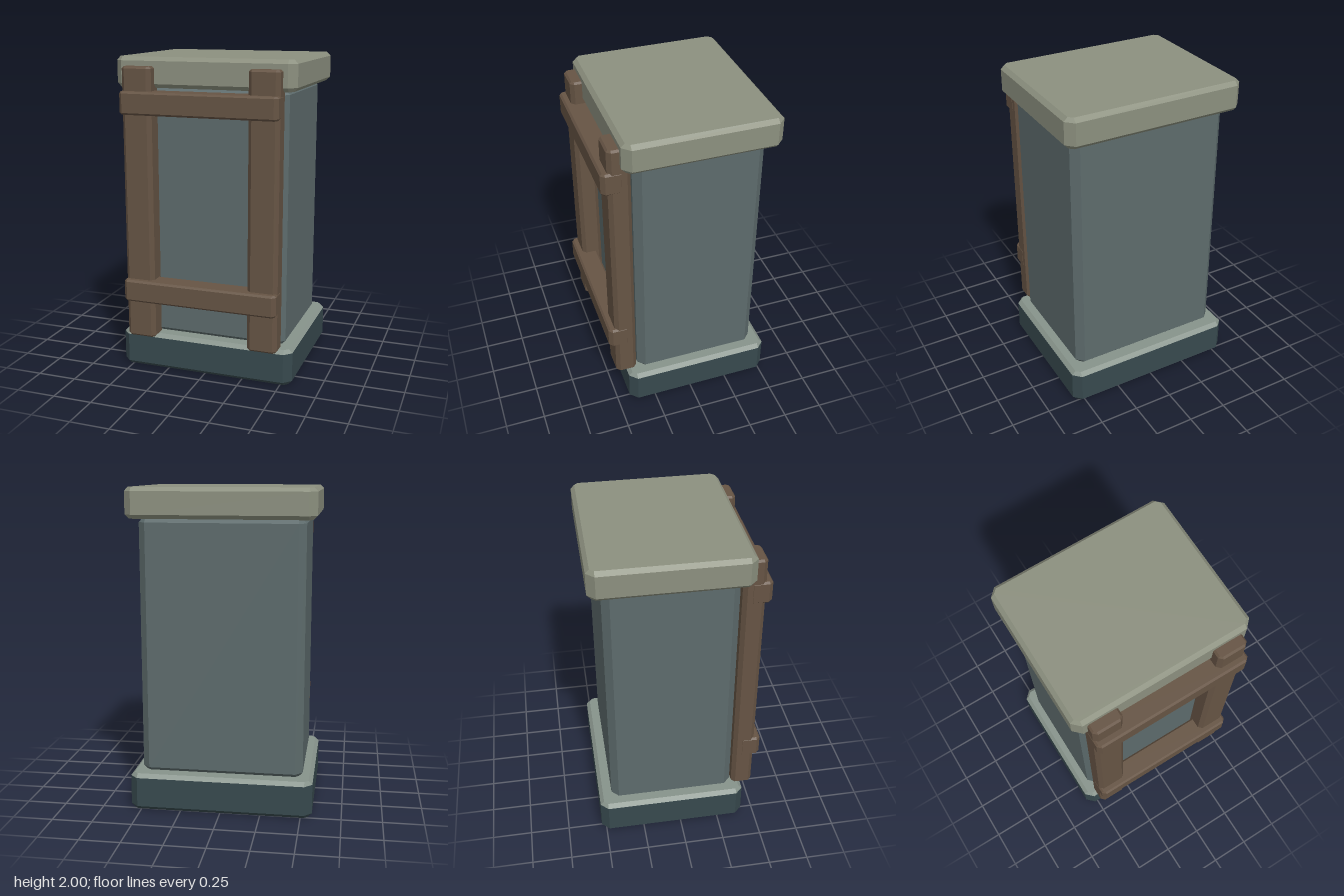
import * as THREE from 'three';

const COLORS = { lid: 0x8c907f, trim: 0x87938b, body: 0x5d6b6c, base: 0x37494e, wood: 0x665444 };

// Eight-sided ring: rectangle with cut corners, its sides drawn in by inset
function ring([x0, x1], [z0, z1], y, cut, inset) {
  const a = x0 + inset, b = x1 - inset, c = z0 + inset, d = z1 - inset;
  return [
    [x1 - cut, y, d], [b, y, z1 - cut], [b, y, z0 + cut], [x1 - cut, y, c],
    [x0 + cut, y, c], [a, y, z0 + cut], [a, y, z1 - cut], [x0 + cut, y, d],
  ];
}

// Flat-shaded solid through levels of [y, inset], listed from the bottom up
function block(name, color, xs, zs, cut, levels) {
  const rings = levels.map(([y, inset]) => ring(xs, zs, y, cut, inset));
  const pos = [];
  const tri = (...points) => points.forEach((p) => pos.push(...p));
  for (let k = 0; k < rings.length - 1; k++) {
    const lo = rings[k], hi = rings[k + 1];
    for (let i = 0; i < 8; i++) {
      const j = (i + 1) % 8;
      tri(lo[i], lo[j], hi[j]);
      tri(lo[i], hi[j], hi[i]);
    }
  }
  const bottom = rings[0], top = rings[rings.length - 1];
  for (let i = 1; i < 7; i++) {
    tri(bottom[0], bottom[i + 1], bottom[i]);
    tri(top[0], top[i], top[i + 1]);
  }
  const geometry = new THREE.BufferGeometry();
  geometry.setAttribute('position', new THREE.Float32BufferAttribute(pos, 3));
  geometry.computeVertexNormals();
  const mesh = new THREE.Mesh(geometry, new THREE.MeshStandardMaterial({ color, flatShading: true }));
  mesh.name = name;
  return mesh;
}

// Levels of a block bevelled at both top and bottom
const bevelled = (y0, y1, b) => [[y0, b], [y0 + b, 0], [y1 - b, 0], [y1, b]];

export function createModel() {
  const group = new THREE.Group();
  group.name = 'pillar';
  const wide = [-0.57, 0.57], deep = [-0.53, 0.42];

  // Plinth with a paler bevelled top, shaft and cap slab
  group.add(block('base', COLORS.base, wide, deep, 0.048, [[0, 0.024], [0.024, 0], [0.21, 0]]));
  group.add(block('baseTrim', COLORS.trim, wide, deep, 0.048, [[0.21, 0], [0.234, 0.024]]));
  group.add(block('body', COLORS.body, [-0.505, 0.505], [-0.45, 0.345], 0.045, bevelled(0.234, 1.812, 0.022)));
  group.add(block('lid', COLORS.lid, wide, deep, 0.048, bevelled(1.815, 2, 0.024)));

  // Wooden frame: two posts and two crossing rails
  const frame = new THREE.Group();
  frame.name = 'woodenFrame';
  for (const [side, xs] of [['left', [0.305, 0.495]], ['right', [-0.495, -0.305]]]) {
    frame.add(block(side + 'Post', COLORS.wood, xs, [0.355, 0.49], 0.024, bevelled(0.236, 1.945, 0.012)));
  }
  for (const [name, y] of [['lowerRail', 0.48], ['upperRail', 1.66]]) {
    frame.add(block(name, COLORS.wood, [-0.497, 0.497], [0.39, 0.53], 0.024, bevelled(y, y + 0.14, 0.012)));
  }
  group.add(frame);
  return group;
}
